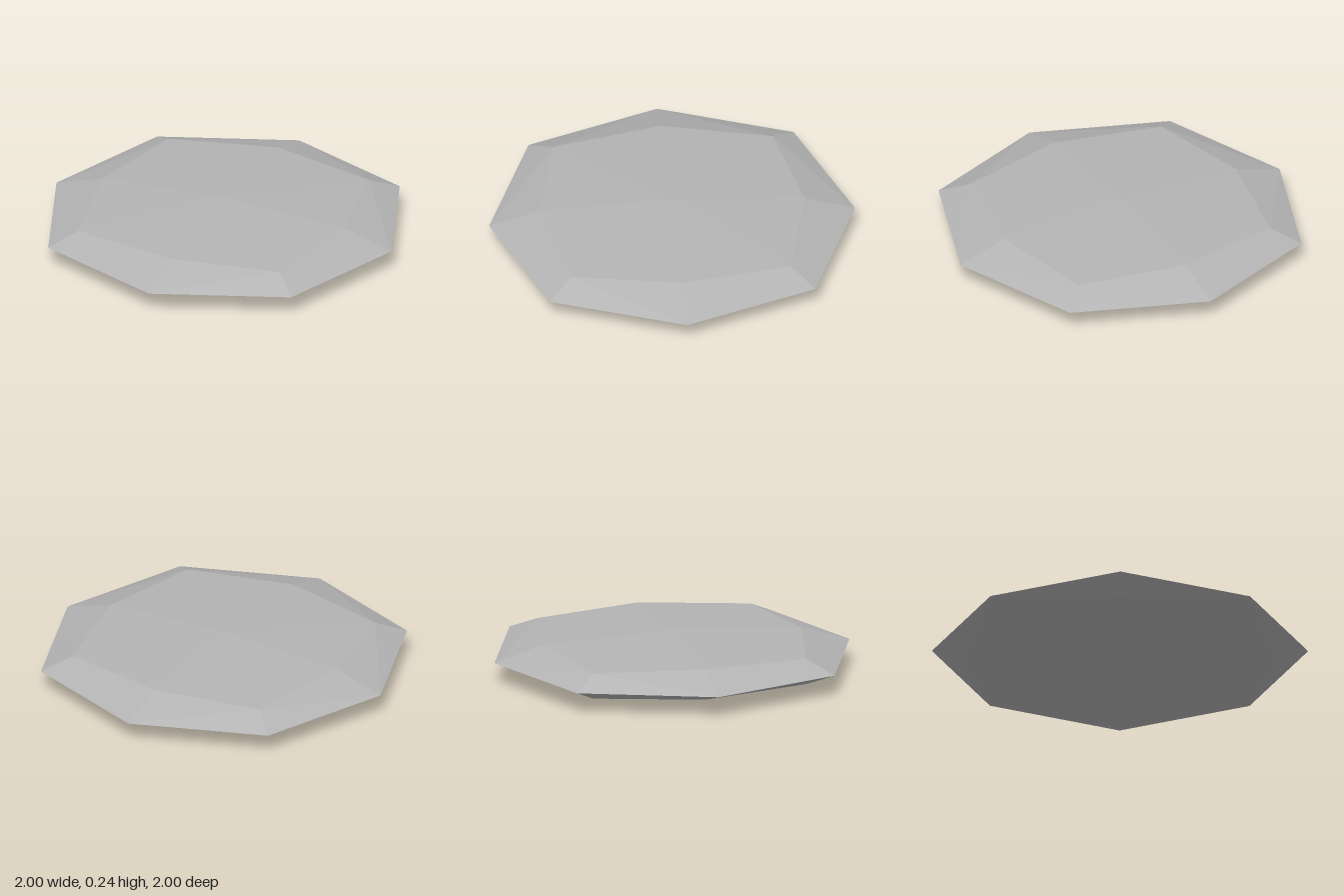
import * as THREE from 'three';
import { ConvexGeometry } from 'three/addons/geometries/ConvexGeometry.js';

const HALF_HEIGHT = 0.118;
// Distance along each axis for face-centre, edge and corner points
const REACH = [0, 1, 0.725, 0.6];

export function createModel() {
  const stone = new THREE.MeshStandardMaterial({ color: 0xb4b4b4 });
  stone.name = 'pale grey stone';
  stone.flatShading = true;

  // Rounded cube cage, squashed into a flat faceted pebble
  const points = [];
  for (const x of [-1, 0, 1]) {
    for (const y of [-1, 0, 1]) {
      for (const z of [-1, 0, 1]) {
        const reach = REACH[Math.abs(x) + Math.abs(y) + Math.abs(z)];
        if (reach) points.push(new THREE.Vector3(x * reach, y * reach, z * reach));
      }
    }
  }
  const geometry = new ConvexGeometry(points);
  geometry.scale(1, HALF_HEIGHT, 1);
  geometry.translate(0, HALF_HEIGHT, 0);
  geometry.computeVertexNormals();

  const pebble = new THREE.Mesh(geometry, stone);
  pebble.name = 'flatFacetedStone';

  const group = new THREE.Group();
  group.name = 'flatStone';
  group.add(pebble);
  return group;
}
